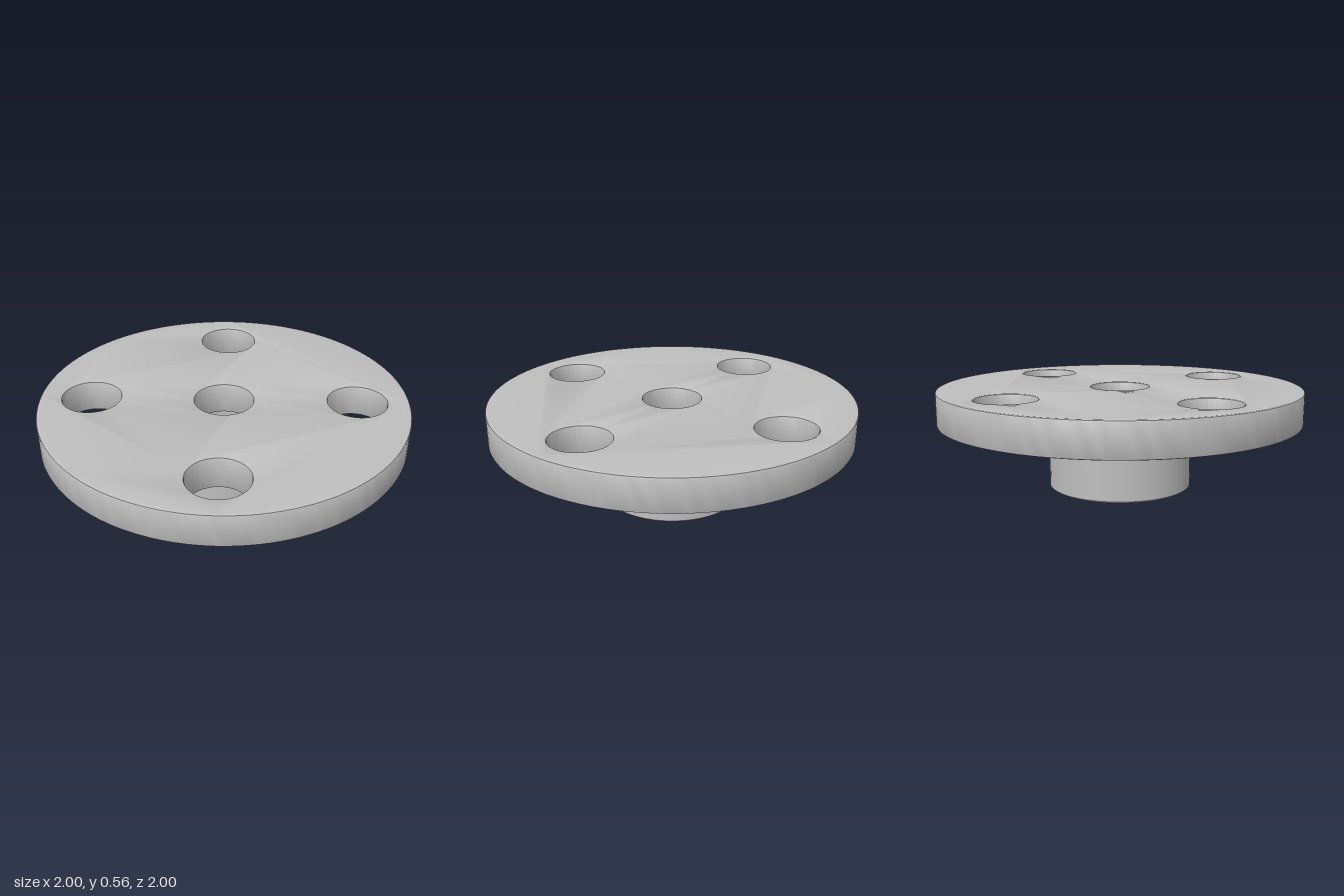
import * as THREE from 'three';
import { toCreasedNormals } from 'three/addons/utils/BufferGeometryUtils.js';

const HEIGHT = 0.56, PLATE_BOTTOM = 0.38, HOLE_RADIUS = 0.16, BOLT_CIRCLE = 0.72, BEVEL = 0.01;

function circle(PathType, x, y, radius, clockwise) {
  const path = new PathType();
  path.absarc(x, y, radius, 0, Math.PI * 2, clockwise);
  return path;
}

export function createModel() {
  const model = new THREE.Group();
  model.name = 'flange';
  const metal = new THREE.MeshStandardMaterial({ color: 0xbebebe });
  metal.name = 'grey metal';

  // Round plate with a centre hole and four bolt holes
  const outline = circle(THREE.Shape, 0, 0, 1, false);
  outline.holes.push(circle(THREE.Path, 0, 0, HOLE_RADIUS, true));
  for (let i = 0; i < 4; i++) {
    const a = i * Math.PI / 2;
    outline.holes.push(circle(THREE.Path, BOLT_CIRCLE * Math.cos(a), BOLT_CIRCLE * Math.sin(a), HOLE_RADIUS, true));
  }
  const plateGeometry = new THREE.ExtrudeGeometry(outline, {
    depth: HEIGHT - PLATE_BOTTOM - 2 * BEVEL,
    curveSegments: 64,
    bevelThickness: BEVEL, bevelSize: BEVEL, bevelOffset: -BEVEL, bevelSegments: 2,
  });
  plateGeometry.rotateX(-Math.PI / 2).translate(0, PLATE_BOTTOM + BEVEL, 0);
  const plate = new THREE.Mesh(toCreasedNormals(plateGeometry, 0.5), metal);
  plate.name = 'plate';
  model.add(plate);

  // Hollow hub below the plate, with a wider bore than the centre hole
  const profile = [
    [0.26, PLATE_BOTTOM + 0.01], [0.26, BEVEL], [0.27, 0],
    [0.385, 0], [0.395, BEVEL], [0.395, PLATE_BOTTOM + 0.01],
  ].map(([r, y]) => new THREE.Vector2(r, y));
  const hub = new THREE.Mesh(toCreasedNormals(new THREE.LatheGeometry(profile, 64), 0.5), metal);
  hub.name = 'hub';
  model.add(hub);

  return model;
}
